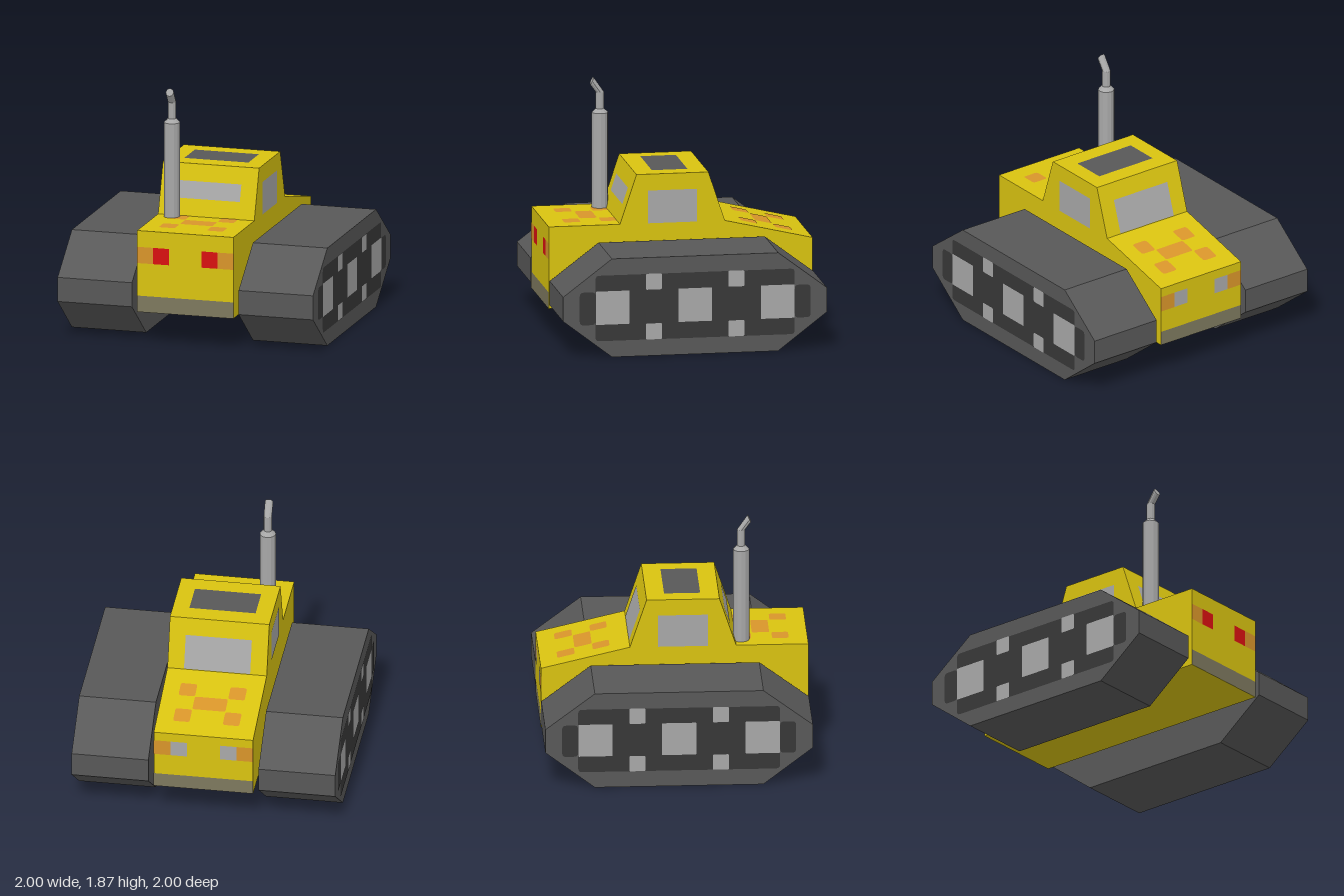
import * as THREE from 'three';

const mat = (name, color) => {
  const m = new THREE.MeshStandardMaterial({ color });
  m.name = name;
  return m;
};

export function createModel() {
  const yellow = mat('yellow paint', 0xd9c310);
  const rubber = mat('track grey', 0x585858);
  const dark = mat('dark recess', 0x383838);
  const metal = mat('light metal', 0xa8a8a8);
  const red = mat('red lamp', 0xd81010);
  const orange = mat('orange paint', 0xd8952a);
  const taupe = mat('bumper taupe', 0x7d785e);

  const model = new THREE.Group();
  model.name = 'trackedVehicle';
  const add = (name, geometry, material) => {
    const mesh = new THREE.Mesh(geometry, material);
    mesh.name = name;
    model.add(mesh);
    return mesh;
  };

  // Side profile given as [z, y], extruded across x and centred
  const slab = (points, width) => {
    const shape = new THREE.Shape(points.map(([z, y]) => new THREE.Vector2(z, y)));
    return new THREE.ExtrudeGeometry(shape, { depth: width, bevelEnabled: false })
      .translate(0, 0, -width / 2)
      .rotateY(-Math.PI / 2);
  };

  const rounded = (a0, a1, b0, b1, r) => {
    const s = new THREE.Shape();
    s.moveTo(a0 + r, b0);
    s.lineTo(a1 - r, b0).quadraticCurveTo(a1, b0, a1, b0 + r);
    s.lineTo(a1, b1 - r).quadraticCurveTo(a1, b1, a1 - r, b1);
    s.lineTo(a0 + r, b1).quadraticCurveTo(a0, b1, a0, b1 - r);
    s.lineTo(a0, b0 + r).quadraticCurveTo(a0, b0, a0 + r, b0);
    return s;
  };

  // Painter for a flat surface with its own u and v axes
  const panel = (origin, uAxis, vAxis) => {
    const u = new THREE.Vector3(...uAxis).normalize();
    const v = new THREE.Vector3(...vAxis).normalize();
    const frame = new THREE.Matrix4()
      .makeBasis(u, v, u.clone().cross(v))
      .setPosition(...origin);
    return (name, material, u0, u1, v0, v1, r = 0.002, lift = 0.002) =>
      add(name, new THREE.ShapeGeometry(rounded(u0, u1, v0, v1, r), 4)
        .translate(0, 0, lift).applyMatrix4(frame), material);
  };

  // Body with hood, cab and sloping rear deck
  add('body', slab([
    [1, 0.25], [1, 0.875], [0.46, 0.875], [0.335, 1.25],
    [-0.21, 1.25], [-0.335, 0.875], [-1, 0.72], [-1, 0.25],
  ], 0.75), yellow);

  // Front and rear faces: lamps, indicators, bumper
  const front = panel([0, 0, 0.998], [1, 0, 0], [0, 1, 0]);
  const rear = panel([0, 0, -0.998], [-1, 0, 0], [0, 1, 0]);
  const ends = [
    ['front', front, red, 0.625, 0.75, 0.375],
    ['rear', rear, metal, 0.53, 0.65, 0.36],
  ];
  for (const [end, paint, lampMat, low, high, bumperTop] of ends) {
    paint(end + 'Bumper', taupe, -0.375, 0.375, 0.25, bumperTop, 0.001, 0.003);
    for (const s of [-1, 1]) {
      const span = (a, b) => (s > 0 ? [a, b] : [-b, -a]);
      paint(end + 'Lamp', lampMat, ...span(0.125, 0.25), low, high, 0.004, 0.003);
      paint(end + 'Indicator', orange, ...span(0.25, 0.375), low, high, 0.004, 0.003);
    }
  }

  // Cab windows and roof hatch
  panel([0, 0.875, 0.46], [1, 0, 0], [0, 0.375, -0.125])(
    'frontWindow', metal, -0.25, 0.25, 0.132, 0.264);
  panel([0, 0.875, -0.335], [-1, 0, 0], [0, 0.375, 0.125])(
    'rearWindow', metal, -0.25, 0.25, 0.004, 0.264);
  panel([0, 1.25, 0], [1, 0, 0], [0, 0, -1])(
    'roofHatch', rubber, -0.25, 0.25, -0.197, 0.073);
  for (const s of [-1, 1]) {
    const a = s < 0 ? [-0.125, 0.25] : [-0.25, 0.125];
    panel([s * 0.375, 0, 0], [0, 0, -s], [0, 1, 0])(
      'sideWindow', metal, ...a, 0.875, 1.125);
  }

  // Painted five-patch pattern on the hood and the rear deck
  const pattern = (name, paint, rows) => {
    const [near, middle, far] = rows;
    paint(name + 'Centre', orange, -0.125, 0.125, ...middle, 0.015);
    for (const row of [near, far]) {
      paint(name + 'Patch', orange, -0.25, -0.125, ...row, 0.02);
      paint(name + 'Patch', orange, 0.125, 0.25, ...row, 0.02);
    }
  };
  pattern('hood', panel([0, 0.875, 0], [1, 0, 0], [0, 0, -1]),
    [[-0.86, -0.735], [-0.72, -0.59], [-0.58, -0.462]]);
  pattern('rearDeck', panel([0, 0.875, -0.335], [1, 0, 0], [0, -0.155, -0.665]),
    [[0.149, 0.277], [0.279, 0.411], [0.416, 0.549]]);

  // Tracks with wheel recesses and wheels on the outer sides
  const trackProfile = [
    [0.63, 0], [1, 0.285], [1, 0.47], [0.63, 0.75],
    [-0.63, 0.75], [-1, 0.47], [-1, 0.285], [-0.63, 0],
  ];
  for (const s of [-1, 1]) {
    add(s > 0 ? 'leftTrack' : 'rightTrack', slab(trackProfile, 0.58), rubber)
      .position.x = s * 0.706;
    const side = panel([s * 0.996, 0, 0], [0, 0, -s], [0, 1, 0]);
    side('wheelRecess', dark, -0.755, 0.755, 0.125, 0.625, 0.03);
    side('recessEnd', dark, 0.755, 0.875, 0.25, 0.5, 0.03);
    side('recessEnd', dark, -0.875, -0.755, 0.25, 0.5, 0.03);
    for (const z of [-0.625, 0, 0.625])
      side('roadWheel', metal, z - 0.128, z + 0.128, 0.25, 0.505, 0.006, 0.004);
    for (const z of [-0.3125, 0.3125])
      for (const y of [0.125, 0.505])
        side('smallRoller', metal, z - 0.06, z + 0.06, y, y + 0.122, 0.01, 0.004);
  }

  // Exhaust stack: a cylinder whose rings follow [y, z, radius, z half-depth, y tilt]
  const rings = [
    [0.86, 0.503, 0.061, 0.061, 0],
    [1.6, 0.503, 0.061, 0.061, 0],
    [1.63, 0.503, 0.031, 0.031, 0],
    [1.755, 0.503, 0.031, 0.031, 0],
    [1.8425, 0.5645, 0.031, 0.0135, -0.0275],
  ];
  const pipe = new THREE.CylinderGeometry(1, 1, 1, 12, rings.length - 1);
  const p = pipe.attributes.position;
  for (let i = 0; i < p.count; i++) {
    const [y, z, r, depth, tilt] = rings[Math.round((p.getY(i) + 0.5) * (rings.length - 1))];
    const k = p.getZ(i);
    p.setXYZ(i, -0.253 + p.getX(i) * r, y + k * tilt, z + k * depth);
  }
  const stack = pipe.toNonIndexed();
  stack.computeVertexNormals();
  add('exhaustStack', stack, metal);

  return model;
}
